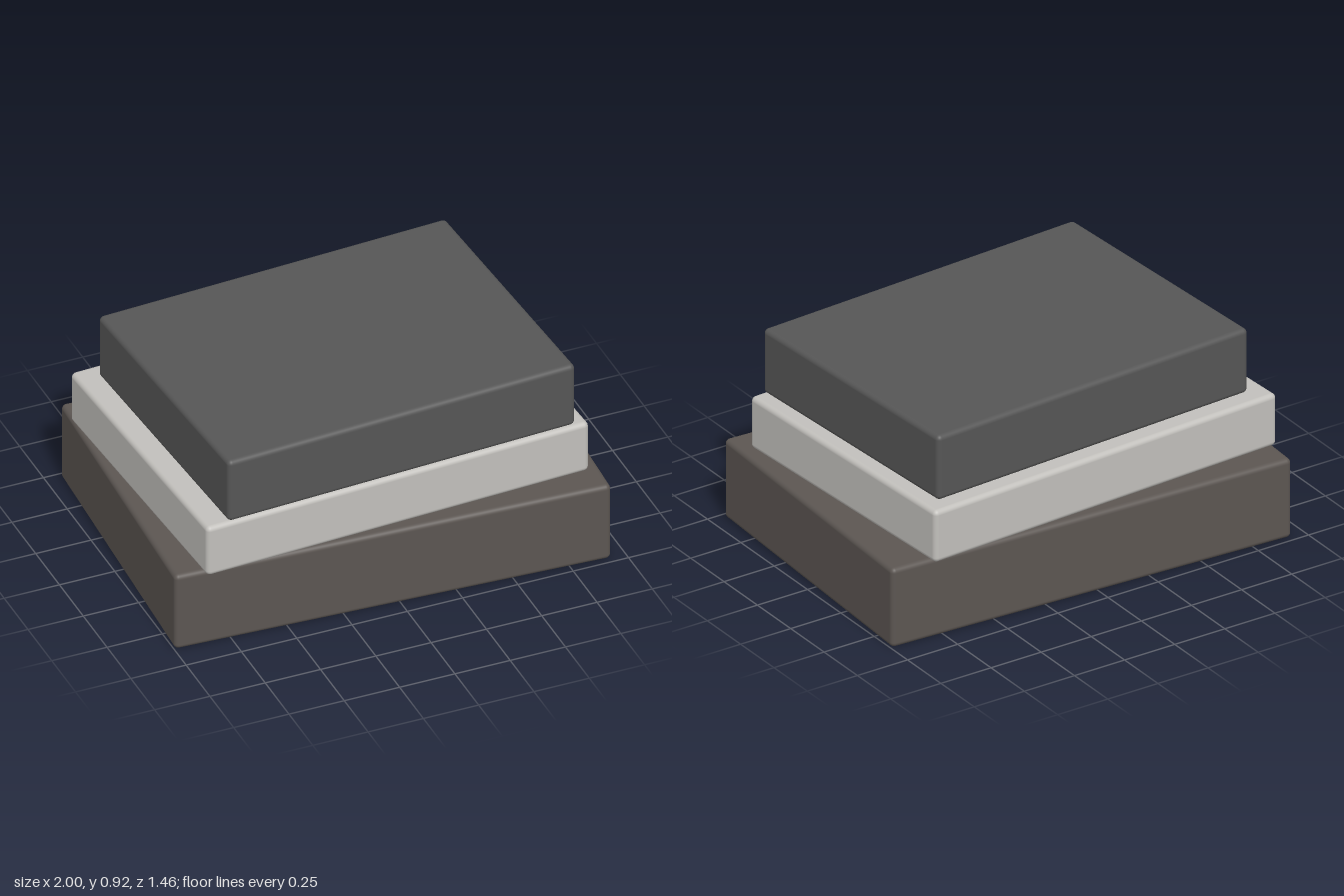
import * as THREE from 'three';
import { RoundedBoxGeometry } from 'three/addons/geometries/RoundedBoxGeometry.js';

// Stack of three soft-edged slabs, each turned slightly about y
const SLABS = [
  { name: 'bottomSlab', size: [1.934, 0.37, 1.366], at: [0, 0, 0], turn: -0.05, color: 0x5c5652 },
  { name: 'middleSlab', size: [1.77, 0.243, 1.29], at: [-0.028, 0.371, 0], turn: 0.052, color: 0xc2c0bc },
  { name: 'topSlab', size: [1.612, 0.302, 1.214], at: [-0.01, 0.615, 0.033], turn: 0.057, color: 0x565656 },
];

export function createModel() {
  const group = new THREE.Group();
  group.name = 'slabStack';
  for (const { name, size: [w, h, d], at: [x, y, z], turn, color } of SLABS) {
    const slab = new THREE.Mesh(
      new RoundedBoxGeometry(w, h, d, 4, 0.022),
      new THREE.MeshStandardMaterial({ color })
    );
    slab.name = name;
    slab.position.set(x, y + h / 2, z);
    slab.rotation.y = turn;
    group.add(slab);
  }
  return group;
}
